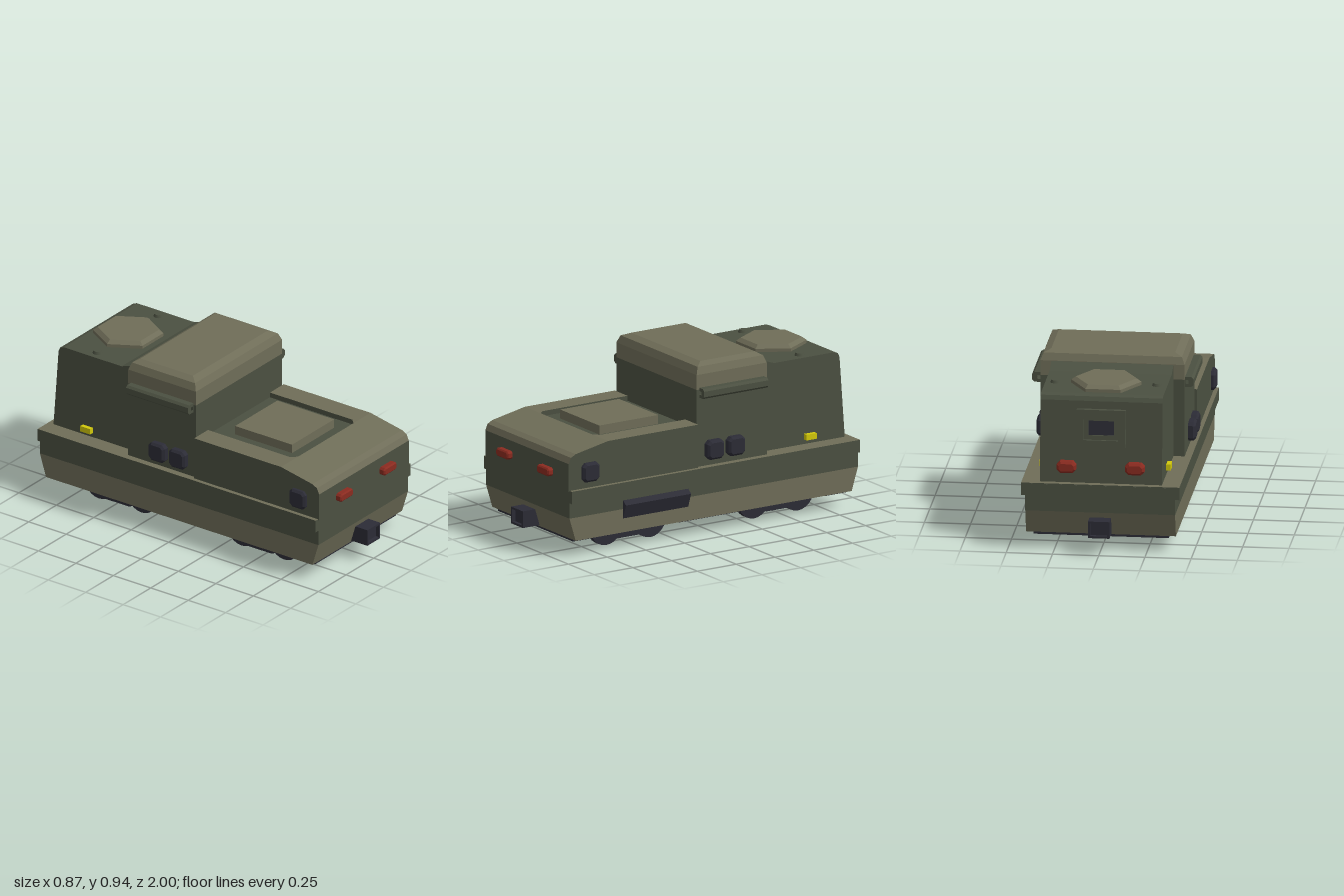
import * as THREE from 'three';

const mat = (name, color) => {
  const m = new THREE.MeshStandardMaterial({ color });
  m.name = name;
  return m;
};

export function createModel() {
  const dark = mat('dark green', 0x4b5041);
  const olive = mat('light olive', 0x6f6d58);
  const slate = mat('slate', 0x2c2c36);
  const red = mat('lamp red', 0x8a2b20);
  const yellow = mat('marker yellow', 0xd2c80a);

  const model = new THREE.Group();
  model.name = 'railTractor';

  const add = (name, geo, material, parent = model) => {
    const m = new THREE.Mesh(geo, material);
    m.name = name;
    parent.add(m);
    return m;
  };
  const shapeOf = (pts) => new THREE.Shape(pts.map(([x, y]) => new THREE.Vector2(x, y)));
  const rect = (w, h) => [[-w / 2, -h / 2], [w / 2, -h / 2], [w / 2, h / 2], [-w / 2, h / 2]];

  // box given by its limits
  const box = (x0, x1, y0, y1, z0, z1) =>
    new THREE.BoxGeometry(x1 - x0, y1 - y0, z1 - z0)
      .translate((x0 + x1) / 2, (y0 + y1) / 2, (z0 + z1) / 2);

  // side profile of [z, y] points, extruded from x0 to x1
  const slab = (pts, x0, x1) =>
    new THREE.ExtrudeGeometry(shapeOf(pts), { depth: x1 - x0, bevelEnabled: false })
      .rotateY(-Math.PI / 2).translate(x1, 0, 0);

  // flat frame with a rectangular opening, extruded along +z
  const frame = (w, h, iw, ih, depth) => {
    const s = shapeOf(rect(w, h));
    s.holes.push(new THREE.Path(rect(iw, ih).map(([x, y]) => new THREE.Vector2(x, y))));
    return new THREE.ExtrudeGeometry(s, { depth, bevelEnabled: false });
  };

  // block with cut corners and a bevelled front, standing on z = 0
  const padGeo = (w, h, d, b = 0.012) => {
    const x = w / 2 - b, y = h / 2 - b, c = b;
    const s = shapeOf([[-x + c, -y], [x - c, -y], [x, -y + c], [x, y - c], [x - c, y], [-x + c, y], [-x, y - c], [-x, -y + c]]);
    return new THREE.ExtrudeGeometry(s, { depth: d - b, bevelSize: b, bevelThickness: b, bevelSegments: 1 });
  };

  // stacked rectangles [y, halfWidth, zBack, zFront]
  const loft = (rings) => {
    const v = [];
    const rows = rings.map(([y, hx, z0, z1]) => [[-hx, y, z1], [hx, y, z1], [hx, y, z0], [-hx, y, z0]]);
    const quad = (a, b, c, d) => v.push(...a, ...b, ...c, ...a, ...c, ...d);
    for (let r = 0; r < rows.length - 1; r++)
      for (let i = 0; i < 4; i++) {
        const j = (i + 1) % 4;
        quad(rows[r][i], rows[r][j], rows[r + 1][j], rows[r + 1][i]);
      }
    quad(...rows[rows.length - 1]);
    const g = new THREE.BufferGeometry();
    g.setAttribute('position', new THREE.Float32BufferAttribute(v, 3));
    g.computeVertexNormals();
    return g;
  };

  // second material for upward faces above a height
  const paintTop = (geo, minY) => {
    const g = geo.index ? geo.toNonIndexed() : geo;
    const p = g.attributes.position, n = g.attributes.normal;
    g.clearGroups();
    for (let i = 0; i < p.count; i += 3) {
      const y = (p.getY(i) + p.getY(i + 1) + p.getY(i + 2)) / 3;
      g.addGroup(i, 3, n.getY(i) > 0.3 && y > minY ? 1 : 0);
    }
    return g;
  };
  const topped = [dark, olive];

  // lower hull: notched core for the wheel wells, plain side walls
  const ends = [[-0.89, 0.09], [-0.93, 0.22], [0.93, 0.22], [0.89, 0.09]];
  const wells = [[0.75, 0.09], [0.75, 0.205], [0.2, 0.205], [0.2, 0.09],
    [-0.19, 0.09], [-0.19, 0.205], [-0.75, 0.205], [-0.75, 0.09]];
  add('lowerHullCore', slab([...ends, ...wells], -0.365, 0.365), olive);
  for (const s of [-1, 1])
    add('lowerHullSide', slab(ends, s < 0 ? -0.405 : 0.365, s < 0 ? -0.365 : 0.405), olive);
  add('upperHull', box(-0.405, 0.405, 0.22, 0.37, -0.93, 0.93), dark);
  add('deckBelt', paintTop(box(-0.428, 0.428, 0.305, 0.375, -0.929, 0.929), 0.37), topped);

  // underside plates and well ceilings
  for (const [z0, z1] of [[0.75, 0.88], [-0.19, 0.2], [-0.88, -0.75]])
    add('bottomPlate', box(-0.365, 0.365, 0.075, 0.091, z0, z1), slate);
  for (const [z0, z1] of [[0.2, 0.75], [-0.75, -0.19]])
    add('wellCeiling', box(-0.365, 0.365, 0.198, 0.206, z0, z1), slate);

  // bogies
  for (const zc of [0.48, -0.472]) {
    const bogie = new THREE.Group();
    bogie.name = 'bogie';
    bogie.position.z = zc;
    model.add(bogie);
    for (const dz of [-0.142, 0.142]) {
      const cyl = (r, len, x, seg) =>
        new THREE.CylinderGeometry(r, r, len, seg).rotateZ(Math.PI / 2).translate(x, 0.1, dz);
      add('axle', cyl(0.025, 0.56, 0, 12), slate, bogie);
      for (const s of [-1, 1]) {
        add('wheel', cyl(0.1, 0.036, s * 0.281, 24), slate, bogie);
        add('axleBox', cyl(0.04, 0.05, s * 0.325, 12), slate, bogie);
      }
    }
    for (const s of [-1, 1])
      add('bogieFrame', slab([[-0.2, 0.15], [-0.2, 0.09], [-0.1, 0.045], [0.1, 0.045], [0.2, 0.09], [0.2, 0.15]],
        s * 0.335 - 0.02, s * 0.335 + 0.02), slate, bogie);
    add('crossBeam', box(-0.32, 0.32, 0.08, 0.12, -0.03, 0.03), slate, bogie);
  }

  // hood with sunken top
  const nose = [[0.1, 0.37], [0.935, 0.37], [0.935, 0.525], [0.92, 0.558], [0.89, 0.574], [0.68, 0.615]];
  const hoodSide = [...nose, [0.1, 0.615]];
  const hoodCore = [...nose, [0.68, 0.585], [0.1, 0.585]];
  add('hoodSide', paintTop(slab(hoodSide, 0.28, 0.405), 0.5), topped);
  add('hoodSide', paintTop(slab(hoodSide, -0.405, -0.28), 0.5), topped);
  const core = paintTop(slab(hoodCore, -0.28, 0.28), 0.5);
  add('hoodCore', core, topped);
  add('recessFloor', box(-0.28, 0.28, 0.582, 0.587, 0.1, 0.68), dark);
  for (const s of [-1, 1]) {
    const corner = new THREE.ExtrudeGeometry(shapeOf([[s * 0.28, -0.68], [s * 0.25, -0.68], [s * 0.28, -0.65]]),
      { depth: 0.029, bevelEnabled: false }).rotateX(-Math.PI / 2).translate(0, 0.586, 0);
    add('recessCorner', paintTop(corner, 0.6), topped);
  }
  add('hoodPanel', box(-0.19, 0.19, 0.58, 0.637, 0.215, 0.595), olive);

  // cab and roof
  add('cab', box(-0.39, 0.39, 0.37, 0.805, -0.352, 0.1), dark);
  add('cabRoof', loft([[0.805, 0.39, -0.352, 0.1], [0.888, 0.39, -0.352, 0.1],
    [0.928, 0.374, -0.338, 0.083], [0.945, 0.335, -0.31, 0.04]]), olive);
  for (const s of [-1, 1]) {
    const rail = shapeOf([[0.385, 0.76], [0.425, 0.76], [0.437, 0.772], [0.437, 0.803], [0.425, 0.815], [0.385, 0.815]]
      .map(([x, y]) => [s * x, y]));
    rail.holes.push(new THREE.Path([[0.392, 0.777], [0.41, 0.777], [0.41, 0.797], [0.392, 0.797]]
      .map(([x, y]) => new THREE.Vector2(s * x, y))));
    add('cabRail', new THREE.ExtrudeGeometry(rail, { depth: 0.415, bevelEnabled: false }).translate(0, 0, -0.332), dark);
  }

  // rear engine block
  add('rearBlock', slab([[-0.34, 0.37], [-0.34, 0.888], [-0.36, 0.885], [-0.44, 0.857], [-0.825, 0.857],
    [-0.85, 0.848], [-0.861, 0.825], [-0.895, 0.37]], -0.33, 0.33), dark);
  const hatch = (r0, r1, h, y) =>
    new THREE.CylinderGeometry(r1, r0, h, 6).toNonIndexed().rotateY(Math.PI / 2).translate(0, y + h / 2, -0.64);
  const hatchBase = add('hatchBase', hatch(0.19, 0.19, 0.022, 0.853), olive);
  const hatchTop = add('hatchTop', hatch(0.19, 0.165, 0.018, 0.875), olive);
  for (const m of [hatchBase, hatchTop]) m.geometry.computeVertexNormals();
  for (const s of [-1, 1])
    add('fillerCap', new THREE.CylinderGeometry(0.022, 0.028, 0.016, 12).translate(s * 0.275, 0.864, -0.64), dark);

  // rear window
  const win = new THREE.Group();
  win.name = 'rearWindow';
  win.position.set(0, 0.68, -0.868);
  win.rotation.x = 0.075;
  model.add(win);
  add('windowFrame', frame(0.265, 0.205, 0.19, 0.13, 0.034).translate(0, 0, -0.034), dark, win);
  add('windowInnerFrame', frame(0.19, 0.13, 0.14, 0.08, 0.018).translate(0, 0, -0.018), dark, win);
  add('windowGlass', box(-0.07, 0.07, -0.04, 0.04, -0.009, -0.003), slate, win);

  // lamps, side vents and markers
  for (const s of [-1, 1]) {
    add('frontLamp', padGeo(0.115, 0.045, 0.035, 0.007), red).position.set(s * 0.197, 0.446, 0.934);
    const rear = add('rearLamp', padGeo(0.105, 0.065, 0.045), red);
    rear.position.set(s * 0.185, 0.465, -0.883);
    rear.rotation.y = Math.PI;
    for (const [z, x, d] of [[0.8, 0.403, 0.028], [-0.005, 0.388, 0.042], [-0.14, 0.388, 0.042]]) {
      const vent = add('sideVent', padGeo(0.108, 0.106, d), slate);
      vent.position.set(s * x, 0.463, z);
      vent.rotation.y = s * Math.PI / 2;
    }
    const sx = s * 0.341;
    add('sideMarker', box(sx - 0.014, sx + 0.014, 0.4, 0.432, -0.698, -0.632), yellow);
  }

  // side locker on the left
  const locker = shapeOf([[0.4, 0.268], [0.408, 0.268], [0.434, 0.246], [0.406, 0.168], [0.4, 0.168]]);
  add('sideLocker', new THREE.ExtrudeGeometry(locker, { depth: 0.42, bevelEnabled: false }).translate(0, 0, 0.165), slate);

  // couplers with hollow ends
  for (const s of [-1, 1]) {
    const coupler = new THREE.Group();
    coupler.name = 'coupler';
    coupler.rotation.y = s > 0 ? 0 : Math.PI;
    model.add(coupler);
    add('couplerBody', box(-0.058, 0.058, 0.097, 0.19, 0.87, 0.98), slate, coupler);
    add('couplerRim', frame(0.116, 0.093, 0.092, 0.07, 0.02).translate(0, 0.1435, 0.98), slate, coupler);
  }

  return model;
}
